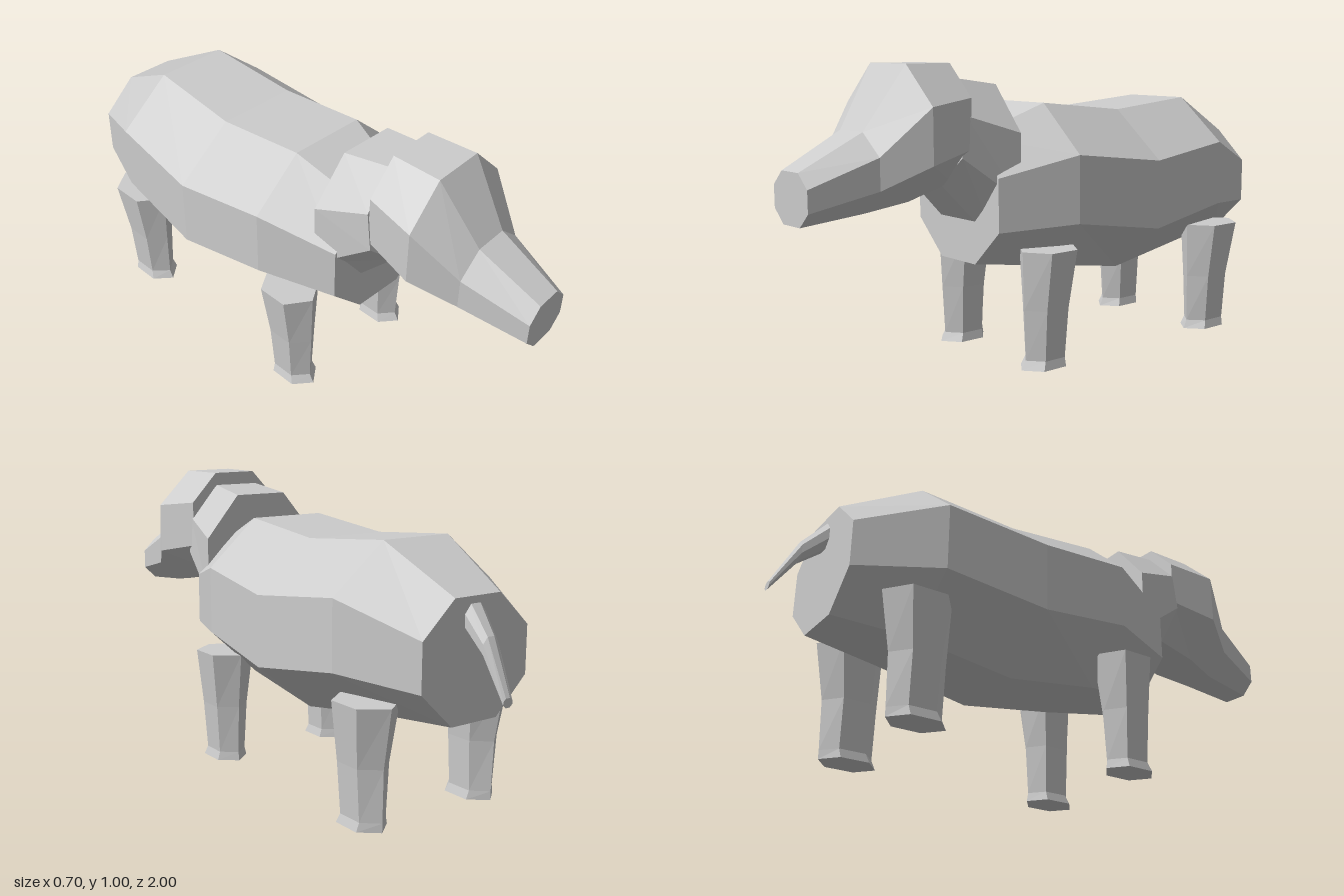
import * as THREE from 'three';

// Octagonal cross-section facing z; ys = [top, upper side, lower side, bottom]
function octagon(z, halfWide, halfTop, ys, { cx = 0, halfBottom = halfTop, yaw = 0, lean = 0 } = {}) {
  const [top, upper, lower, bottom] = ys;
  const outline = [
    [halfWide, lower], [halfWide, upper], [halfTop, top], [-halfTop, top],
    [-halfWide, upper], [-halfWide, lower], [-halfBottom, bottom], [halfBottom, bottom],
  ];
  return outline.map(([x, y]) => [x + cx, y, z + yaw * x + lean * (top - y)]);
}

// Hexagonal cross-section lying flat, with a corner towards the front
function hexagon(y, cx, cz, halfX, halfZ) {
  return Array.from({ length: 6 }, (_, i) => {
    const a = Math.PI / 6 + (i * Math.PI) / 3;
    return [cx + (halfX * Math.cos(a)) / Math.cos(Math.PI / 6), y, cz - halfZ * Math.sin(a)];
  });
}

// Faceted skin over a row of cross-sections, closed at both ends
function loft(rings) {
  const pos = [];
  const tri = (a, b, c) => pos.push(...a, ...b, ...c);
  const n = rings[0].length;
  for (let r = 0; r + 1 < rings.length; r++) {
    for (let i = 0; i < n; i++) {
      const j = (i + 1) % n;
      tri(rings[r][i], rings[r][j], rings[r + 1][j]);
      tri(rings[r][i], rings[r + 1][j], rings[r + 1][i]);
    }
  }
  const first = rings[0], last = rings[rings.length - 1];
  for (let i = 1; i + 1 < n; i++) {
    tri(first[0], first[i + 1], first[i]);
    tri(last[0], last[i], last[i + 1]);
  }
  const geo = new THREE.BufferGeometry();
  geo.setAttribute('position', new THREE.Float32BufferAttribute(pos, 3));
  geo.computeVertexNormals();
  return geo;
}

export function createModel() {
  const model = new THREE.Group();
  model.name = 'animal';
  const hide = new THREE.MeshStandardMaterial({ color: 0xcccccc });
  hide.name = 'grey hide';

  const add = (name, rings) => {
    const mesh = new THREE.Mesh(loft(rings), hide);
    mesh.name = name;
    model.add(mesh);
  };

  // Barrel-shaped body, from rump to chest
  add('body', [
    octagon(-0.84, 0.21, 0.09, [0.72, 0.61, 0.455, 0.34]),
    octagon(-0.57, 0.32, 0.13, [0.86, 0.705, 0.48, 0.32]),
    octagon(-0.22, 0.35, 0.145, [0.83, 0.665, 0.43, 0.265]),
    octagon(0.12, 0.32, 0.14, [0.865, 0.705, 0.48, 0.315]),
    octagon(0.375, 0.22, 0.093, [0.765, 0.64, 0.465, 0.345]),
  ]);

  // Thick neck rising out of the shoulders
  add('neck', [
    octagon(0.29, 0.228, 0.1, [0.93, 0.78, 0.56, 0.4]),
    octagon(0.46, 0.19, 0.085, [0.955, 0.84, 0.71, 0.62], { lean: 0.13 }),
  ]);

  // Head turned slightly to its left, tapering to a blunt snout
  const yaw = -0.055;
  add('head', [
    octagon(0.467, 0.188, 0.085, [1.0, 0.895, 0.735, 0.625], { cx: 0.003, yaw }),
    octagon(0.642, 0.223, 0.093, [1.0, 0.875, 0.7, 0.58], { cx: 0.0125, yaw }),
    octagon(0.78, 0.145, 0.06, [0.8, 0.73, 0.63, 0.555], { cx: 0.02, yaw }),
    octagon(0.994, 0.092, 0.045, [0.695, 0.65, 0.58, 0.535], { cx: 0.034, yaw }),
  ]);

  // Tail drooping backwards, from tip to root
  add('tail', [
    octagon(-0.998, 0.018, 0.008, [0.455, 0.446, 0.436, 0.427], { cx: 0.03 }),
    octagon(-0.915, 0.03, 0.013, [0.615, 0.595, 0.565, 0.545], { cx: 0.02 }),
    octagon(-0.82, 0.045, 0.02, [0.72, 0.69, 0.65, 0.62], { cx: 0.005 }),
  ]);

  // Legs with small flared feet: [y, x, half x, front z, back z]
  const legs = {
    front: [
      [0, 0.227, 0.06, 0.29, 0.1], [0.03, 0.227, 0.052, 0.272, 0.105],
      [0.2, 0.229, 0.062, 0.28, 0.095], [0.395, 0.232, 0.083, 0.288, 0.07],
    ],
    back: [
      [0, 0.227, 0.06, -0.5, -0.7], [0.03, 0.227, 0.052, -0.515, -0.7],
      [0.2, 0.229, 0.062, -0.51, -0.705], [0.395, 0.232, 0.083, -0.5, -0.74],
    ],
  };
  for (const [end, rows] of Object.entries(legs)) {
    for (const side of [1, -1]) {
      add(`${end}${side > 0 ? 'Left' : 'Right'}Leg`, rows.map(([y, x, halfX, zFront, zBack]) =>
        hexagon(y, side * x, (zFront + zBack) / 2, halfX, (zFront - zBack) / 2)));
    }
  }

  return model;
}
